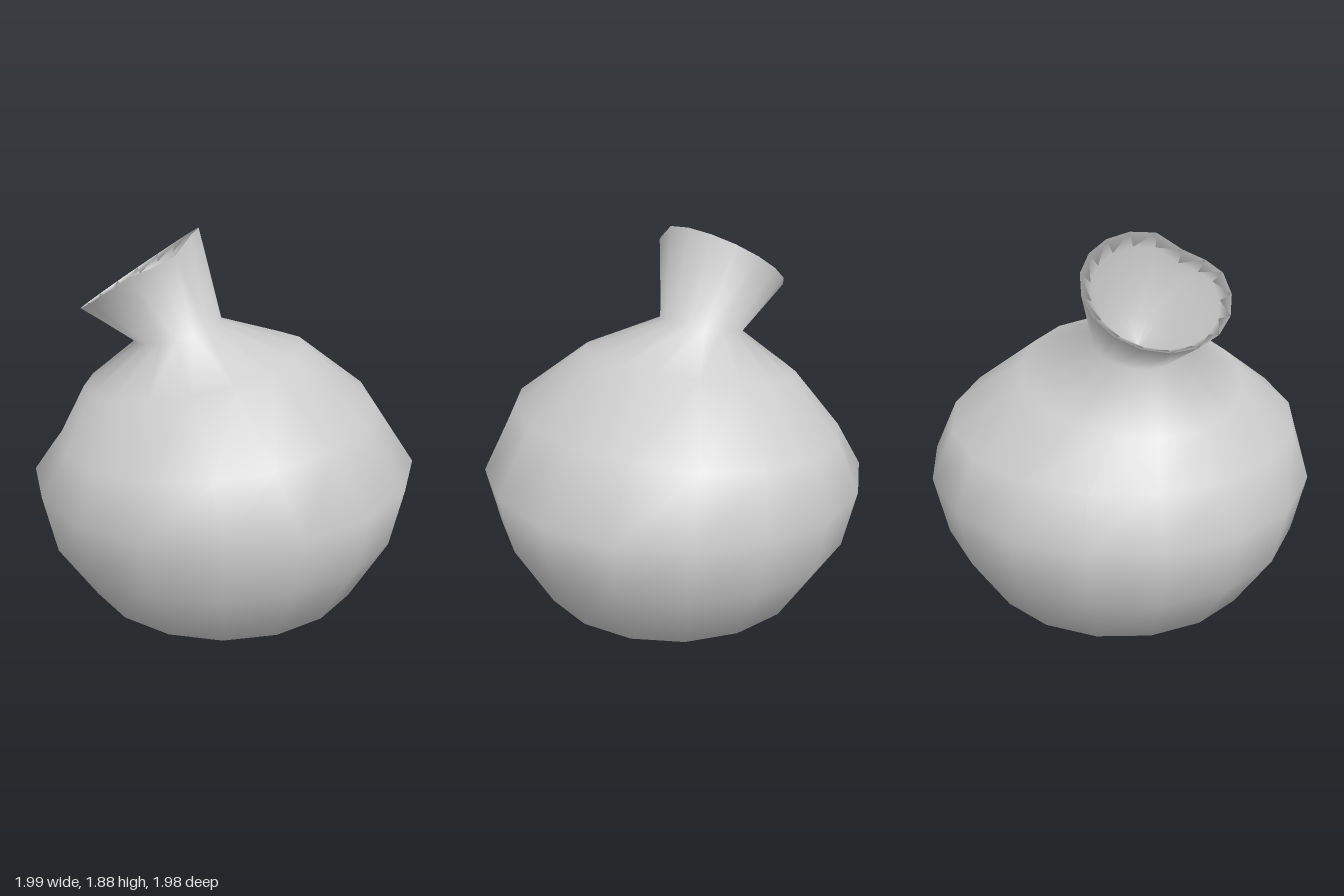
import * as THREE from 'three';

const SIDES = 17;

// Tilted elliptical rings: [centre x, y, z, radius x, radius z, rise of y per unit x]
const RINGS = [
  // underside and belly
  [0, 0, 0, 0, 0, 0],
  [0, 0, 0, 0.74, 0.735, 0],
  [0, 0.335, 0, 0.935, 0.935, 0.027],
  [0, 0.65, 0, 1, 1, 0.025],
  [-0.03, 0.92, 0.015, 0.81, 0.9, 0.1],
  // shoulder
  [-0.15, 1.18, 0.02, 0.575, 0.555, 0.193],
  // gathered neck
  [-0.23, 1.355, 0.015, 0.222, 0.218, 0.25],
  // flared mouth
  [-0.42, 1.675, 0.045, 0.3, 0.357, 0.683],
  // inside of the mouth
  [-0.41, 1.64, 0.045, 0.255, 0.305, 0.683],
  [-0.26, 1.42, 0.02, 0.165, 0.165, 0.3],
  [-0.24, 1.34, 0.015, 0, 0, 0],
];
const RIM = 7;

function ringPoint([cx, cy, cz, rx, rz, slope], k, atRim) {
  const a = (k / SIDES) * Math.PI * 2;
  const dx = rx * Math.sin(a);
  const z = cz - rz * Math.cos(a);
  // small sag in the front of the cloth rim
  const sag = atRim ? 0.06 * Math.exp(-(((a - 2.35) / 0.3) ** 2)) : 0;
  return [cx + dx, cy + slope * dx - sag, z];
}

function skin(rings) {
  const positions = [];
  const index = [];
  rings.forEach((ring, i) => {
    const atRim = i === RIM || i === RIM + 1;
    for (let k = 0; k < SIDES; k++) positions.push(...ringPoint(ring, k, atRim));
  });
  for (let i = 0; i < rings.length - 1; i++) {
    for (let k = 0; k < SIDES; k++) {
      const n = (k + 1) % SIDES;
      const a = i * SIDES + k;
      const b = i * SIDES + n;
      const a2 = a + SIDES;
      const b2 = b + SIDES;
      if (rings[i][3] > 0) index.push(b, a, a2);
      if (rings[i + 1][3] > 0) index.push(b, a2, b2);
      else index.push(b, a, a2);
    }
  }
  const geometry = new THREE.BufferGeometry();
  geometry.setAttribute('position', new THREE.Float32BufferAttribute(positions, 3));
  geometry.setIndex(index);
  geometry.computeVertexNormals();
  return geometry;
}

export function createModel() {
  const group = new THREE.Group();
  group.name = 'sack';
  // one continuous cloth skin: belly, neck, rim and inside
  const material = new THREE.MeshStandardMaterial({ color: 0xcccccc, side: THREE.DoubleSide });
  const cloth = new THREE.Mesh(skin(RINGS), material);
  cloth.name = 'sackCloth';
  group.add(cloth);
  return group;
}
